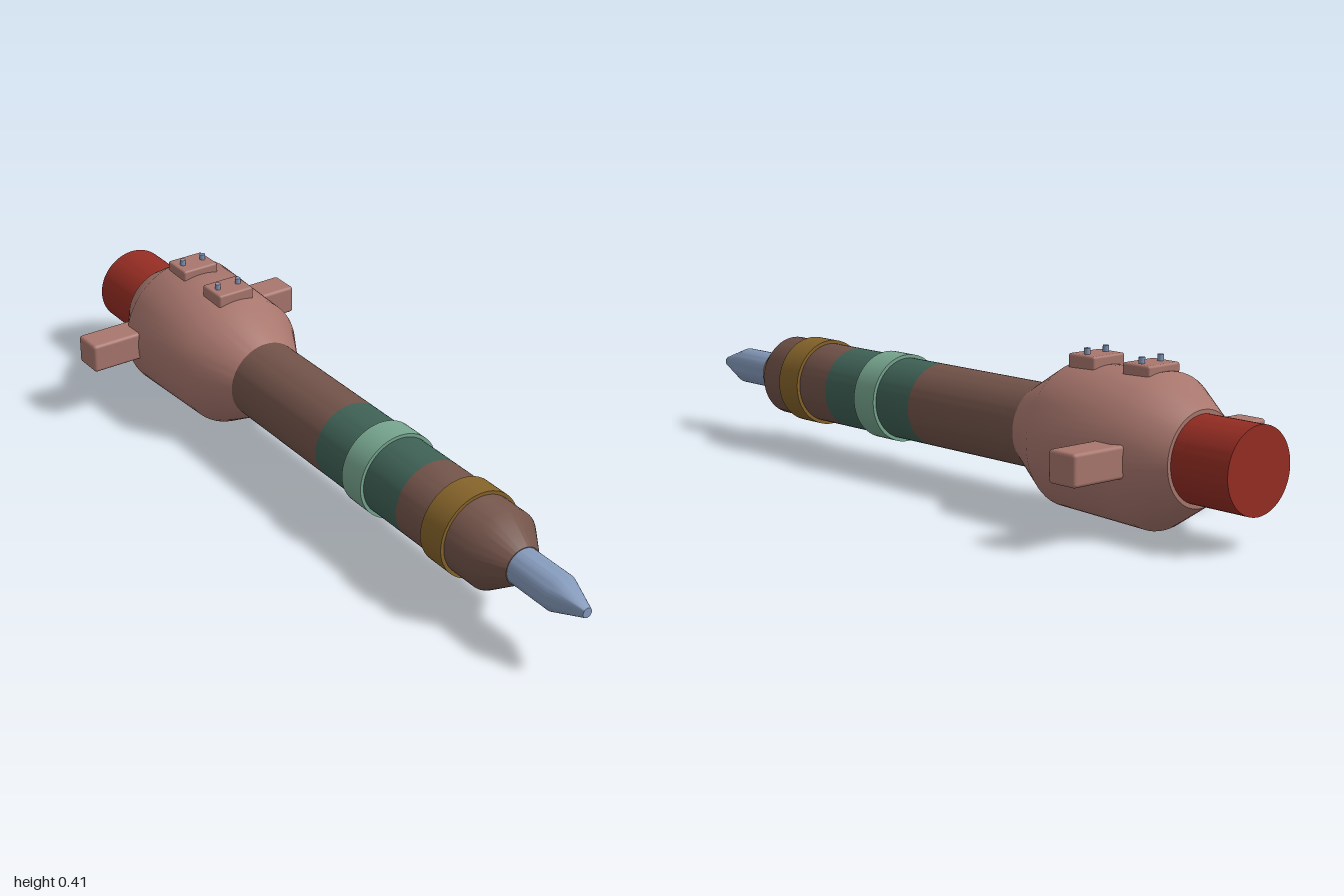
import * as THREE from 'three';
import { toCreasedNormals } from 'three/addons/utils/BufferGeometryUtils.js';
import { RoundedBoxGeometry } from 'three/addons/geometries/RoundedBoxGeometry.js';

const AXIS_Y = 0.188;
const R = 0.106;

export function createModel() {
  const group = new THREE.Group();
  const material = (name, color) => {
    const m = new THREE.MeshStandardMaterial({ color });
    m.name = name;
    return m;
  };
  const rose = material('rose casing', 0xa8766d);
  const brown = material('brown barrel', 0x725349);
  const red = material('red cap', 0x952d23);
  const green = material('dark green', 0x3f6156);
  const mint = material('mint', 0x76a48e);
  const gold = material('gold', 0x85632a);
  const steel = material('steel blue', 0x8499ba);

  const add = (name, geometry, mat, x = 0, y = AXIS_Y, z = 0) => {
    const mesh = new THREE.Mesh(geometry, mat);
    mesh.name = name;
    mesh.position.set(x, y, z);
    group.add(mesh);
  };

  // Closed turned part along z; profile is [radius, z] from back to front
  const turned = (name, profile, mat) => {
    const first = profile[0], last = profile[profile.length - 1];
    const points = [[0, first[1]], ...profile, [0, last[1]]].map(([r, z]) => new THREE.Vector2(r, z));
    const geometry = new THREE.LatheGeometry(points, 64).rotateX(Math.PI / 2);
    add(name, toCreasedNormals(geometry, 0.75), mat);
  };

  // Barrel from back to tip
  turned('rearCap', [[0.105, -1], [0.105, -0.8]], red);
  turned('casing', [[0.115, -0.83], [0.187, -0.715], [0.178, -0.435], [R, -0.31]], rose);
  turned('barrel', [[R, -0.33], [R, 0.08]], brown);
  turned('gripBand', [[R, 0.08], [R, 0.42]], green);
  turned('gripRing', [[0.115, 0.208], [0.115, 0.287]], mint);
  turned('nose', [[R, 0.42], [R, 0.69], [0.05, 0.772]], brown);
  turned('noseRing', [[0.115, 0.53], [0.115, 0.61]], gold);
  turned('tip', [[0.048, 0.76], [0.048, 0.905], [0.013, 1]], steel);

  // Side arms
  for (const side of [-1, 1]) {
    add(side > 0 ? 'leftArm' : 'rightArm',
      new RoundedBoxGeometry(0.2, 0.079, 0.085, 2, 0.009), rose, side * 0.221, 0.19, -0.7);
  }

  // Top pads, each with two pins
  for (const z of [-0.488, -0.666]) {
    add('topPad', new RoundedBoxGeometry(0.105, 0.06, 0.086, 2, 0.006), rose, 0, 0.362, z);
    for (const x of [-0.031, 0.031]) {
      add('padPin', new THREE.CylinderGeometry(0.0075, 0.0075, 0.03, 16), steel, x, 0.392, z);
    }
  }
  return group;
}
